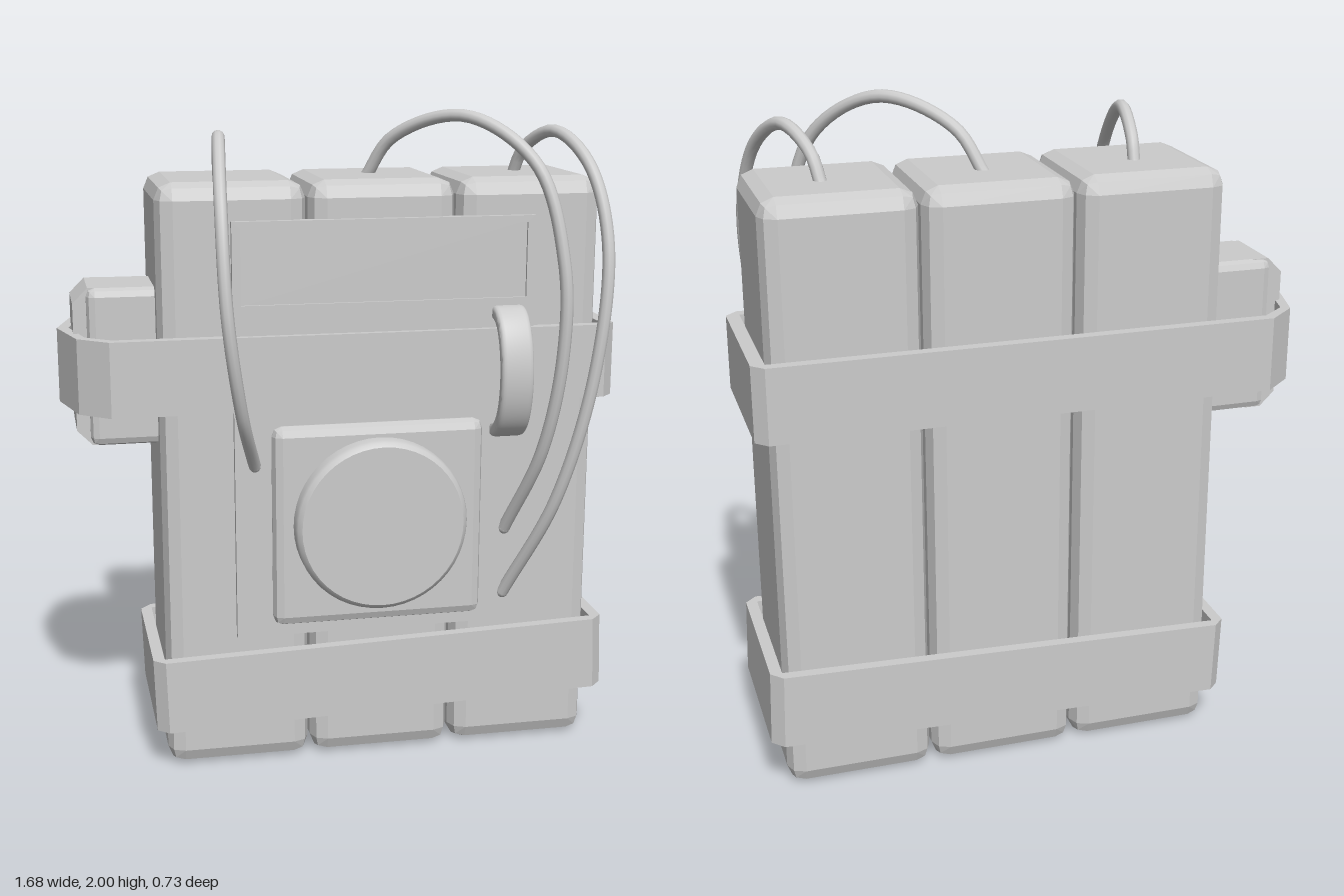
import * as THREE from 'three';
import { toCreasedNormals } from 'three/addons/utils/BufferGeometryUtils.js';
import { ConvexGeometry } from 'three/addons/geometries/ConvexGeometry.js';

const material = new THREE.MeshStandardMaterial({ color: 0xcccccc, side: THREE.DoubleSide });

// Box with two-step bevelled edges, given by its min and max corners
function bevelBox(min, max, r) {
  const points = [];
  const dirs = [[1, 0, 0], [0, 1, 0], [0, 0, 1], [1, 1, 0], [1, 0, 1], [0, 1, 1], [1, 1, 1]];
  for (let corner = 0; corner < 8; corner++) {
    for (const dir of dirs) {
      const len = Math.hypot(...dir);
      points.push(new THREE.Vector3(...dir.map((d, i) =>
        (corner >> i) & 1 ? max[i] - r + (r * d) / len : min[i] + r - (r * d) / len)));
    }
  }
  return new ConvexGeometry(points);
}

function plainBox(min, max) {
  const size = max.map((v, i) => v - min[i]);
  return new THREE.BoxGeometry(...size).translate(...max.map((v, i) => (v + min[i]) / 2));
}

const outline = (pts) => pts.map((p) => new THREE.Vector2(...p));

// Closed strap drawn in plan (x, z), centred on height 0
function strap(outer, inner, height) {
  const shape = new THREE.Shape(outline(outer));
  shape.holes.push(new THREE.Path(outline(inner)));
  const geo = new THREE.ExtrudeGeometry(shape, { depth: height, bevelEnabled: false });
  return geo.translate(0, 0, -height / 2).rotateX(Math.PI / 2);
}

export function createModel() {
  const group = new THREE.Group();
  const add = (name, geometry, parent = group) => {
    const mesh = new THREE.Mesh(geometry, material);
    mesh.name = name;
    parent.add(mesh);
    return mesh;
  };

  // Three upright blocks
  for (let i = 0; i < 3; i++) {
    const x = -0.555 + i * 0.45;
    add('block', bevelBox([x, 0, -0.325], [x + 0.443, 1.8, 0.125], 0.05));
  }

  // Front panel with a shallow label recess
  const panel = new THREE.Shape(outline([[-0.34, 0.42], [0.575, 0.42], [0.575, 1.69], [-0.34, 1.69]]));
  panel.holes.push(new THREE.Path(outline([[-0.315, 1.445], [-0.315, 1.67], [0.55, 1.67], [0.55, 1.445]])));
  add('frontPanel', new THREE.ExtrudeGeometry(panel, { depth: 0.035, bevelEnabled: false }).translate(0, 0, 0.11));
  add('labelRecess', plainBox([-0.32, 1.44, 0.11], [0.555, 1.675, 0.136]));

  // Square plate and round dial
  add('dialPlate', bevelBox([-0.23, 0.455, 0.1], [0.42, 1.08, 0.178], 0.03));
  const dialProfile = outline([[0.265, 0.15], [0.265, 0.212], [0.26, 0.226], [0.248, 0.235], [0, 0.235]]);
  const dial = new THREE.LatheGeometry(dialProfile, 48).rotateX(Math.PI / 2).translate(0.095, 0.775, 0);
  add('dial', toCreasedNormals(dial, 0.6));

  // Upper strap, widened around the side box
  const upper = add('upperStrap', strap(
    [[-0.7, -0.368], [0.8, -0.368], [0.835, -0.333], [0.835, 0.13], [0.8, 0.165], [-0.7, 0.165],
      [-0.79, 0.09], [-0.84, -0.1], [-0.79, -0.29]],
    [[-0.69, -0.335], [0.795, -0.335], [0.795, 0.13], [-0.69, 0.13], [-0.765, 0.07], [-0.805, -0.1], [-0.765, -0.275]],
    0.225));
  upper.position.y = 1.243;

  // Lower strap, slightly tilted
  const lower = add('lowerStrap', strap(
    [[-0.68, -0.368], [0.68, -0.368], [0.715, -0.333], [0.715, 0.13], [0.68, 0.165], [-0.68, 0.165],
      [-0.715, 0.13], [-0.715, -0.333]],
    [[-0.68, -0.335], [0.68, -0.335], [0.68, 0.13], [-0.68, 0.13]],
    0.23));
  lower.position.set(0.12, 0.267, 0);
  lower.rotation.z = 0.032;

  // Box held at the side, with a sloped end cap
  add('sideBox', bevelBox([-0.755, 1.015, -0.225], [-0.5, 1.49, 0.035], 0.025));
  const cap = new THREE.Shape(outline([[-0.7, 1.015], [-0.75, 1.015], [-0.795, 1.06], [-0.795, 1.445],
    [-0.75, 1.49], [-0.7, 1.49]]));
  add('sideBoxCap', new THREE.ExtrudeGeometry(cap, { depth: 0.21, bevelEnabled: false }).translate(0, 0, -0.205));

  // Arched handle: a half ring swept across x
  const arch = new THREE.Shape();
  arch.absellipse(0, 0, 0.115, 0.19, -Math.PI / 2, Math.PI / 2, false);
  arch.absellipse(0, 0, 0.1, 0.17, Math.PI / 2, -Math.PI / 2, true);
  const handle = new THREE.ExtrudeGeometry(arch, {
    depth: 0.07, bevelSize: 0.012, bevelThickness: 0.015, bevelSegments: 3, curveSegments: 20,
  });
  handle.translate(0, 0, -0.035).rotateY(-Math.PI / 2).translate(0.495, 1.22, 0.143);
  add('handle', toCreasedNormals(handle, 0.7));

  // Wires looping from the block tops to the front
  const wires = [
    [[-0.34, 1.78, -0.13], [-0.345, 1.86, -0.09], [-0.36, 1.925, 0.04], [-0.383, 1.76, 0.25],
      [-0.38, 1.45, 0.335], [-0.335, 1.15, 0.28], [-0.28, 0.96, 0.14]],
    [[0.11, 1.78, -0.13], [0.18, 1.91, -0.06], [0.36, 1.98, 0.11], [0.53, 1.85, 0.27],
      [0.6, 1.57, 0.34], [0.605, 1.3, 0.34], [0.57, 1, 0.28], [0.5, 0.72, 0.14]],
    [[0.58, 1.78, -0.13], [0.6, 1.87, -0.08], [0.655, 1.93, 0.05], [0.715, 1.84, 0.2],
      [0.745, 1.62, 0.3], [0.71, 1.25, 0.33], [0.62, 0.85, 0.28], [0.5, 0.51, 0.14]],
  ];
  for (const points of wires) {
    const wire = new THREE.Group();
    wire.name = 'wire';
    group.add(wire);
    const path = new THREE.CatmullRomCurve3(points.map((p) => new THREE.Vector3(...p)));
    add('wireTube', new THREE.TubeGeometry(path, 64, 0.019, 10), wire);
    add('wireTip', new THREE.SphereGeometry(0.019, 10, 8).translate(...points.at(-1)), wire);
  }

  return group;
}
